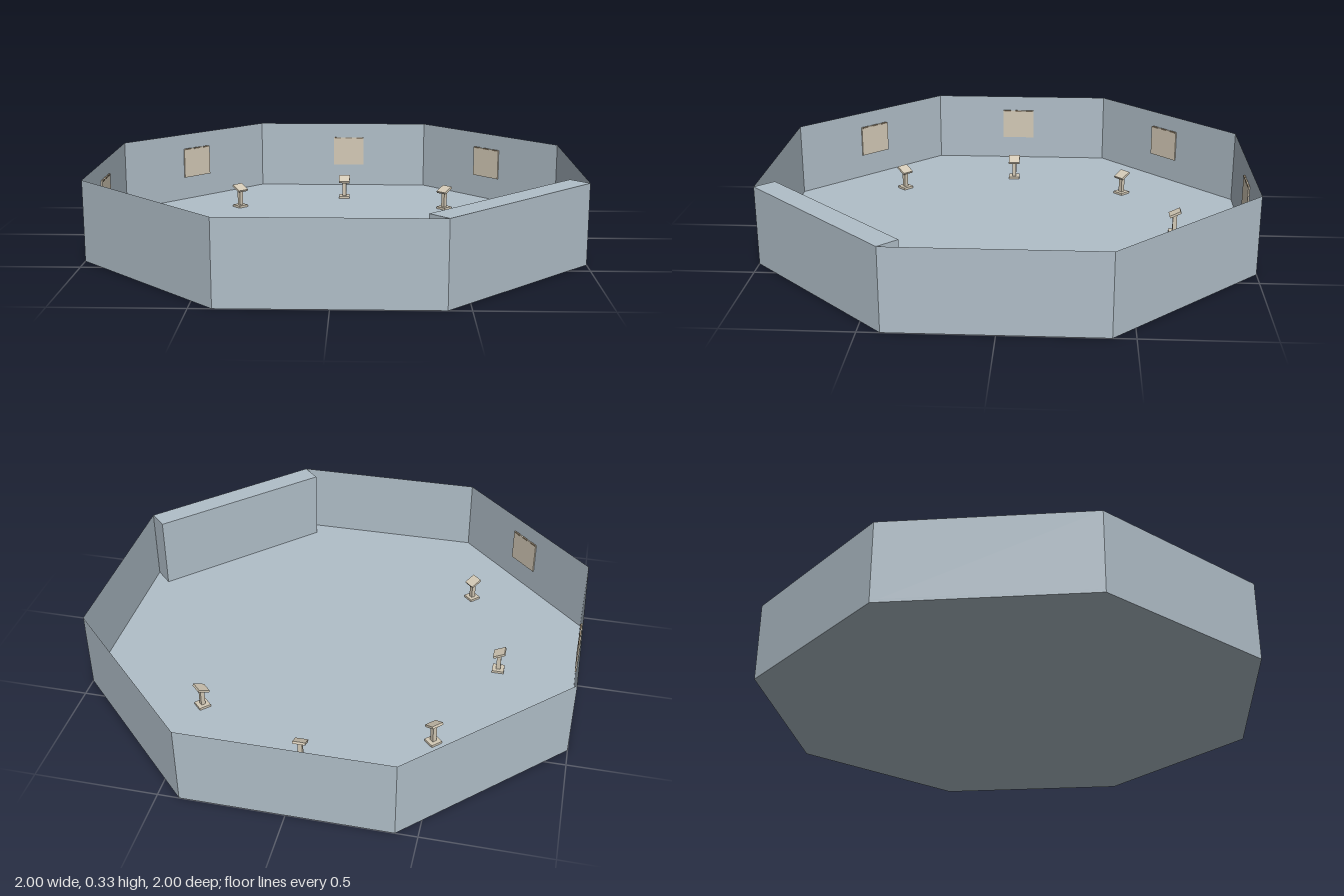
import * as THREE from 'three';

const HEIGHT = 0.332;  // wall height
const FLOOR = 0.013;   // top of the floor slab
const RADIUS = 1 / Math.cos(Math.PI / 8);

function material(name, color, extra = {}) {
  const m = new THREE.MeshStandardMaterial({ color, ...extra });
  m.name = name;
  return m;
}

const stone = material('blue grey stone', 0xb0bec8, { flatShading: true, side: THREE.DoubleSide });
const parchment = material('beige', 0xd3c9b6);
const brown = material('brown', 0x8a7c68);

function add(parent, name, geometry, mat, x = 0, y = 0, z = 0) {
  const mesh = new THREE.Mesh(geometry, mat);
  mesh.name = name;
  mesh.position.set(x, y, z);
  parent.add(mesh);
  return mesh;
}

const box = (w, h, d) => new THREE.BoxGeometry(w, h, d);

// Lectern: square foot, slim post and a reading plate sloping to local +z
function lectern() {
  const g = new THREE.Group();
  g.name = 'lectern';
  add(g, 'lecternFoot', box(0.05, 0.01, 0.05), parchment, 0, 0.005, 0);
  add(g, 'lecternPost', box(0.018, 0.08, 0.018), parchment, 0, 0.047, 0);
  const plate = add(g, 'readingPlate', box(0.052, 0.01, 0.052), parchment, 0, 0.091, 0);
  plate.rotation.x = 0.45;
  return g;
}

// Wall panel facing local +z, with small clips along its top edge
function wallPanel() {
  const g = new THREE.Group();
  g.name = 'wallPanel';
  add(g, 'panelSheet', box(0.152, 0.14, 0.006), parchment, 0, 0, 0.003);
  for (const x of [-0.055, 0, 0.055]) {
    add(g, 'panelClip', box(0.032, 0.006, 0.008), brown, x, 0.068, 0.004);
  }
  return g;
}

export function createModel() {
  const room = new THREE.Group();
  room.name = 'octagonalRoom';

  // Shell: open octagonal wall and a thin floor
  add(room, 'walls',
    new THREE.CylinderGeometry(RADIUS, RADIUS, HEIGHT, 8, 1, true, Math.PI / 8), stone, 0, HEIGHT / 2, 0);
  add(room, 'floor',
    new THREE.CylinderGeometry(RADIUS, RADIUS, FLOOR, 8, 1, false, Math.PI / 8), stone, 0, FLOOR / 2, 0);

  // Thick block standing against the front left wall
  const d = (1 - 0.0485) * Math.SQRT1_2;
  const block = add(room, 'thickWallBlock', box(0.828, HEIGHT, 0.097), stone, d, HEIGHT / 2, d);
  block.rotation.y = Math.PI / 4;

  // Five stations around the room: [angle of wall, panel side offset, lectern x, lectern z]
  const stations = [
    [-45, 0, -0.495, 0.53],
    [-90, -0.015, -0.675, 0.02],
    [-135, -0.005, -0.475, -0.495],
    [180, 0.03, 0.015, -0.705],
    [135, 0, 0.49, -0.48],
  ];
  for (const [degrees, offset, x, z] of stations) {
    const a = THREE.MathUtils.degToRad(degrees);
    const facing = a + Math.PI;
    const panel = wallPanel();
    panel.position.set(
      Math.sin(a) * 0.999 + Math.cos(facing) * offset, 0.19,
      Math.cos(a) * 0.999 - Math.sin(facing) * offset);
    panel.rotation.y = facing;
    room.add(panel);

    const stand = lectern();
    stand.position.set(x, FLOOR, z);
    stand.rotation.y = facing;
    room.add(stand);
  }
  return room;
}
